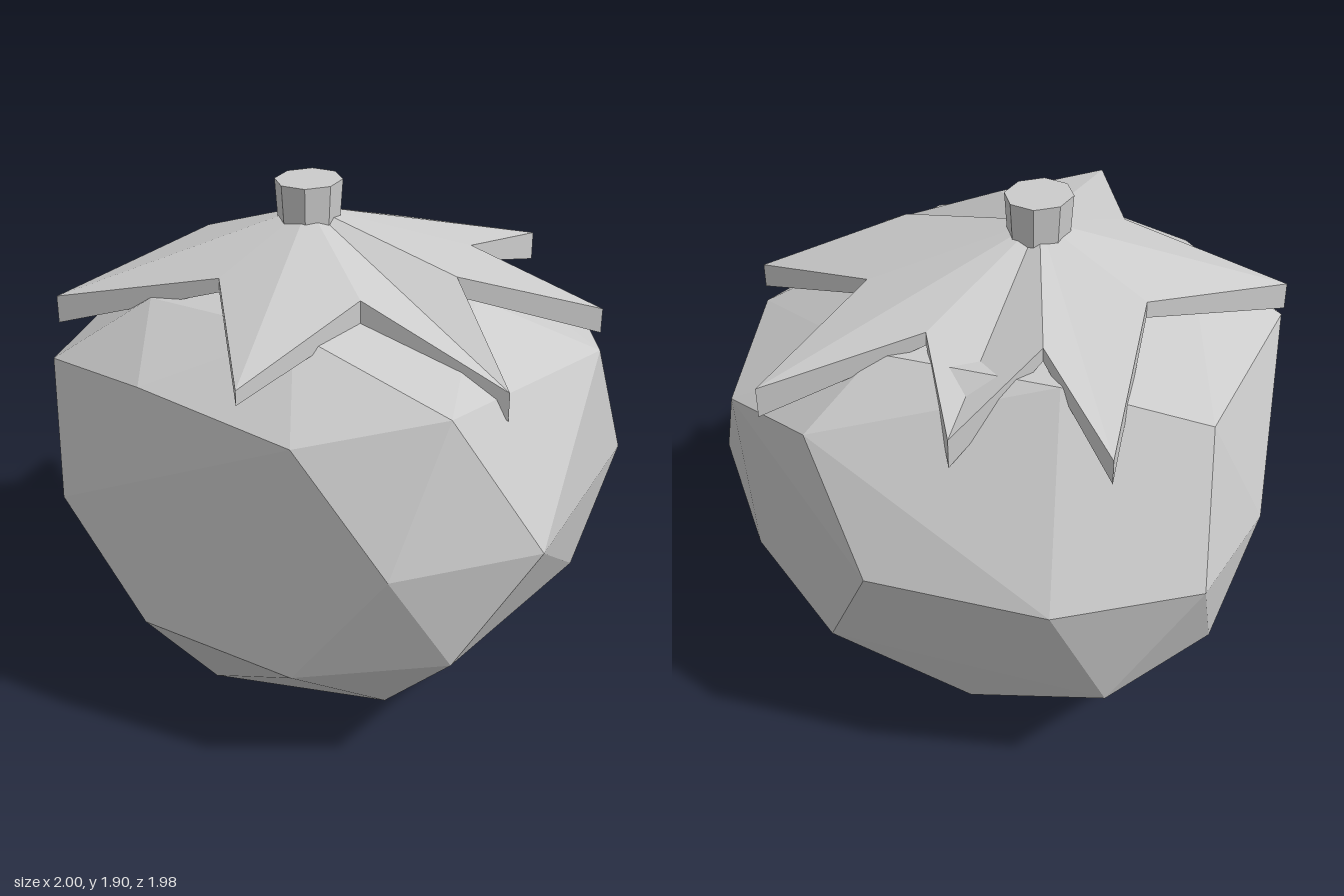
import * as THREE from 'three';
import { ConvexGeometry } from 'three/addons/geometries/ConvexGeometry.js';

const material = new THREE.MeshStandardMaterial({ color: 0xcccccc, flatShading: true });

function add(group, name, geometry) {
  const mesh = new THREE.Mesh(geometry, material);
  mesh.name = name;
  group.add(mesh);
  return mesh;
}

// Faceted fruit: rings of corners joined by a convex skin
function fruitGeometry() {
  const corners = [
    // bottom
    [0, 0, -0.25], [-0.17, 0.14, 0.62], [0.45, 0.14, 0.48], [0.45, 0.14, -0.49],
    [-0.17, 0.14, -0.62], [-0.55, 0.14, -0.28],
    // lower ring
    [-0.29, 0.505, 0.88], [0.27, 0.435, 0.86], [0.76, 0.505, 0.645], [0.89, 0.435, -0.25],
    [0.76, 0.505, -0.64], [0.27, 0.435, -0.855],
    [-0.73, 0.43, -0.64], [-0.94, 0.51, -0.25], [-0.73, 0.43, 0.05],
    // widest ring
    [-0.61, 0.915, 0.86], [0.62, 0.915, 0.86], [1, 0.915, 0.475], [0.96, 0.825, -0.53],
    [0, 0.915, -0.995], [-0.62, 0.915, -0.85], [-1, 0.915, -0.485], [-1, 0.915, -0.02],
    // shoulder
    [-0.28, 1.4, 0.85], [0.29, 1.32, 0.88], [0.72, 1.4, 0.62], [0.93, 1.33, -0.25],
    [0.71, 1.25, -0.745], [0.29, 1.33, -0.88], [-0.89, 1.4, -0.255], [-0.77, 1.32, 0.64],
    // top
    [0.17, 1.59, 0.62], [0.55, 1.55, 0], [0.17, 1.54, -0.62], [-0.45, 1.54, -0.49], [-0.45, 1.55, 0.49],
  ];
  return new ConvexGeometry(corners.map((c) => new THREE.Vector3(...c)));
}

// Star of seven leaves: tips and notches as x, y, z, thickness, fanned to the centre
function leafGeometry() {
  const outline = [
    [0.165, 1.54, 0.985, 0.05], [0.31, 1.65, 0.42, 0.08], [0.82, 1.41, 0.38, 0.1], [0.51, 1.65, 0.085, 0.07],
    [0.925, 1.485, -0.255, 0.09], [0.4, 1.61, -0.33, 0.06], [0.44, 1.48, -0.915, 0.11], [0.035, 1.61, -0.52, 0.05],
    [-0.195, 1.41, -0.76, 0.11], [-0.35, 1.62, -0.425, 0.05], [-0.715, 1.44, -0.63, 0.09], [-0.525, 1.64, -0.03, 0.06],
    [-0.81, 1.51, 0.54, 0.1], [-0.2, 1.65, 0.45, 0.05],
  ];
  const centre = [-0.075, 1.8, 0.035];
  const under = [-0.075, 1.73, 0.035];
  const positions = [];
  outline.forEach(([x, y, z, t], i) => {
    const [x2, y2, z2, t2] = outline[(i + 1) % outline.length];
    const a = [x, y, z], b = [x2, y2, z2];
    const aLow = [x, y - t, z], bLow = [x2, y2 - t2, z2];
    positions.push(...centre, ...a, ...b, ...under, ...bLow, ...aLow); // top and underside
    positions.push(...a, ...aLow, ...bLow, ...a, ...bLow, ...b); // rim
  });
  const geometry = new THREE.BufferGeometry();
  geometry.setAttribute('position', new THREE.Float32BufferAttribute(positions, 3));
  geometry.computeVertexNormals();
  return geometry;
}

export function createModel() {
  const group = new THREE.Group();
  group.name = 'fruit';
  add(group, 'fruitBody', fruitGeometry());
  add(group, 'leafCrown', leafGeometry());
  // Short stalk, flat sides facing the axes
  const stem = add(group, 'stem', new THREE.CylinderGeometry(0.118, 0.107, 0.17, 8, 1, false, Math.PI / 8));
  stem.position.set(-0.073, 1.812, 0.035);
  stem.scale.z = 1.08;
  return group;
}
